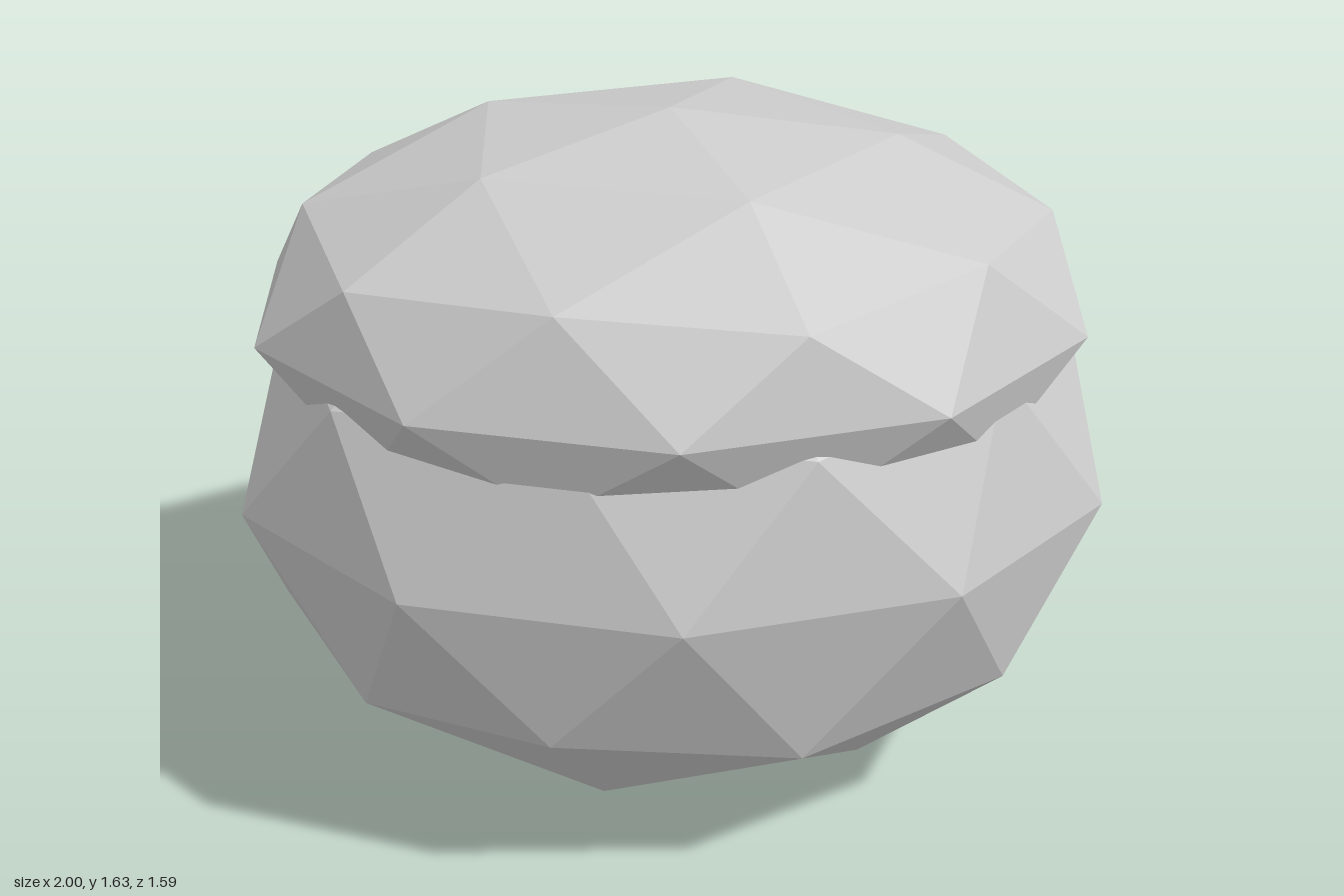
import * as THREE from 'three';

const stone = new THREE.MeshStandardMaterial({ color: 0xcccccc });
stone.name = 'paleGrey';

// Faceted ball with a vertex at each pole, stretched and skewed in plan.
// a and b are the [x, z] images of its two horizontal axes.
function facetedBall(name, centerY, radiusY, a, b) {
  const geometry = new THREE.IcosahedronGeometry(1, 1);
  geometry.rotateZ(Math.atan(2 / (1 + Math.sqrt(5)))); // stand on a vertex
  geometry.rotateY(-Math.PI / 10);
  geometry.applyMatrix4(new THREE.Matrix4().set(
    a[0], 0, b[0], 0,
    0, radiusY, 0, centerY,
    a[1], 0, b[1], 0,
    0, 0, 0, 1
  ));
  geometry.computeVertexNormals(); // unshared corners give flat facets
  const mesh = new THREE.Mesh(geometry, stone);
  mesh.name = name;
  return mesh;
}

export function createModel() {
  const group = new THREE.Group();
  group.name = 'stackedBoulder';
  group.add(
    facetedBall('body', 0.767, 0.767, [1.0, 0.057], [-0.153, 0.82]),
    // flatter cap sunk into the body
    facetedBall('cap', 1.175, 0.456, [0.94, 0.055], [-0.146, 0.787])
  );
  return group;
}
